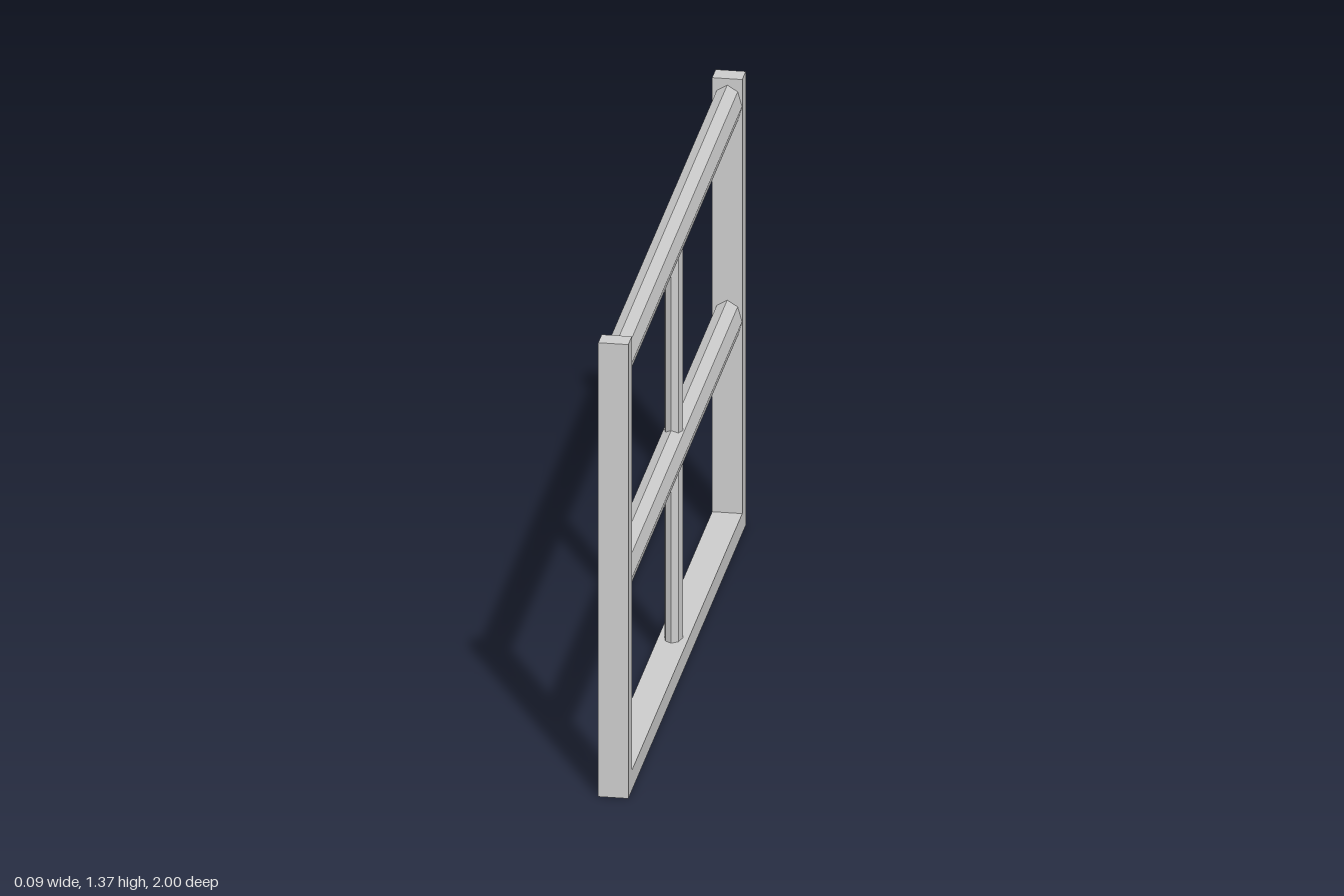
import * as THREE from 'three';

const material = new THREE.MeshStandardMaterial({ color: 0xcccccc, flatShading: true });

export function createModel() {
  const group = new THREE.Group();
  const add = (name, geometry, x, y, z) => {
    const mesh = new THREE.Mesh(geometry, material);
    mesh.name = name;
    mesh.position.set(x, y, z);
    group.add(mesh);
  };

  const depth = 0.085, height = 1.37, bar = 0.06;

  // U-shaped frame: two posts joined by a base bar, extruded across x
  const inner = 1 - bar;
  const outline = new THREE.Shape([
    [-1, 0], [1, 0], [1, height], [inner, height],
    [inner, bar], [-inner, bar], [-inner, height], [-1, height],
  ].map(([u, v]) => new THREE.Vector2(u, v)));
  const frame = new THREE.ExtrudeGeometry(outline, { depth, bevelEnabled: false });
  frame.translate(0, 0, -depth / 2).rotateY(Math.PI / 2);
  add('frame', frame, 0, 0, 0);

  // Flattened eight-sided rails running between the posts
  const railHeights = [0.639, 1.288];
  for (const [i, y] of railHeights.entries()) {
    const rail = new THREE.CylinderGeometry(0.0625, 0.0625, 2 * inner, 8);
    rail.rotateX(Math.PI / 2).scale(0.67, 1, 1);
    add(i ? 'topRail' : 'middleRail', rail, 0, y, 0);
  }

  // Slimmer eight-sided uprights, from the base and from the middle rail
  const levels = [bar, ...railHeights];
  for (let i = 0; i < 2; i++) {
    const length = levels[i + 1] - levels[i];
    const upright = new THREE.CylinderGeometry(0.043, 0.043, length, 8);
    upright.scale(0.6, 1, 1);
    add(i ? 'upperUpright' : 'lowerUpright', upright, 0, levels[i] + length / 2, -0.028);
  }

  return group;
}
